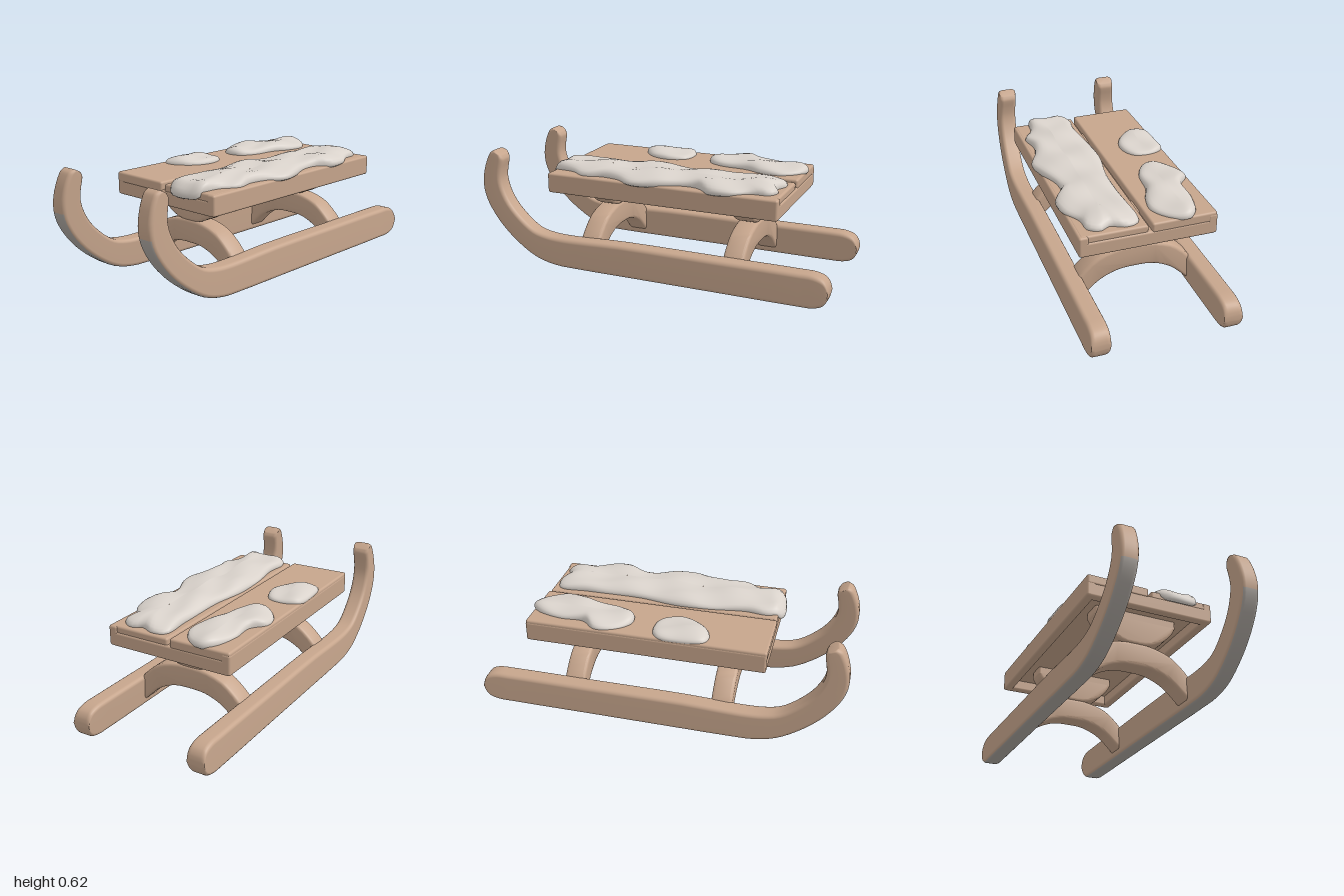
import * as THREE from 'three';
import { toCreasedNormals } from 'three/addons/utils/BufferGeometryUtils.js';
import { RoundedBoxGeometry } from 'three/addons/geometries/RoundedBoxGeometry.js';

const mat = (name, color) => Object.assign(new THREE.MeshStandardMaterial({ color }), { name });

function geometryFrom(positions, index) {
  const g = new THREE.BufferGeometry();
  g.setAttribute('position', new THREE.Float32BufferAttribute(positions, 3));
  g.setIndex(index);
  return g;
}

// Runner stations from tail to tip: [bottom z, bottom y, top z, top y]
const STATIONS = [
  [-1, 0.075, -1, 0.1], [-0.992, 0.045, -0.992, 0.13], [-0.97, 0.018, -0.97, 0.157],
  [-0.92, 0.002, -0.92, 0.173], [-0.85, 0, -0.85, 0.175], [-0.4, 0, -0.4, 0.175],
  [0.1, 0, 0.15, 0.175], [0.4, 0, 0.4, 0.166], [0.54, 0.005, 0.5, 0.165],
  [0.66, 0.035, 0.58, 0.17], [0.77, 0.1, 0.66, 0.188], [0.87, 0.185, 0.74, 0.24],
  [0.95, 0.285, 0.82, 0.32], [0.99, 0.37, 0.865, 0.4], [0.998, 0.45, 0.88, 0.46],
  [0.982, 0.53, 0.876, 0.515], [0.958, 0.588, 0.868, 0.555], [0.945, 0.607, 0.867, 0.573],
  [0.922, 0.62, 0.878, 0.596],
];

// Curled runner with a rounded rectangular section, leaning inwards as it rises
function runnerGeometry(side) {
  const curve = (a, b) => new THREE.CatmullRomCurve3(
    STATIONS.map((s) => new THREE.Vector3(0, s[b], s[a])));
  const bottom = curve(0, 1), top = curve(2, 3);
  const steps = (STATIONS.length - 1) * 3, n = 20, half = 0.05, r = 0.022;
  const pos = [], wood = [], metal = [];
  const put = (x, y, z) => pos.push(side * (0.347 - 0.048 * y + x), Math.max(y, 0), z);
  for (let i = 0; i <= steps; i++) {
    const b = bottom.getPoint(i / steps), t = top.getPoint(i / steps);
    const rv = Math.min(0.45, r / b.distanceTo(t));
    for (let j = 0; j < n; j++) {
      const corner = Math.floor(j / 5);
      const a = (corner - 1 + (j % 5) / 4) * Math.PI / 2;
      const x = (corner < 2 ? 1 : -1) * (half - r) + r * Math.cos(a);
      const v = (corner % 3 === 0 ? rv : 1 - rv) + rv * Math.sin(a);
      const p = b.clone().lerp(t, v);
      put(x, p.y, p.z);
    }
  }
  const tri = (list, a, b, c) => (side > 0 ? list.push(a, b, c) : list.push(a, c, b));
  for (let i = 0; i < steps; i++) {
    const b = bottom.getPoint((i + 0.5) / steps);
    const shod = b.y < 0.385 && b.z > -0.96;
    for (let j = 0; j < n; j++) {
      const k = (j + 1) % n, list = shod && (j < 2 || j >= 17) ? metal : wood;
      tri(list, i * n + j, i * n + k, i * n + n + k);
      tri(list, i * n + j, i * n + n + k, i * n + n + j);
    }
  }
  // End caps
  for (let j = 1; j < n - 1; j++) {
    tri(wood, 0, j + 1, j);
    tri(wood, steps * n, steps * n + j, steps * n + j + 1);
  }
  const g = geometryFrom(pos, [...wood, ...metal]);
  g.addGroup(0, wood.length, 0);
  g.addGroup(wood.length, metal.length, 1);
  g.computeVertexNormals();
  return g;
}

// Symmetric bevelled slab from right-hand edges (x falling to 0), upper and lower
function archGeometry(upper, lower, depth) {
  const edge = (pts) => {
    const mirrored = [...pts, ...pts.slice(0, -1).reverse().map(([x, y]) => [-x, y])];
    return new THREE.SplineCurve(mirrored.map((p) => new THREE.Vector2(...p))).getPoints(36);
  };
  const outline = [...edge(upper), ...edge(lower).reverse()];
  const bevel = 0.016;
  const g = new THREE.ExtrudeGeometry(new THREE.Shape(outline), {
    depth: depth - 2 * bevel, bevelEnabled: true, bevelSize: bevel, bevelThickness: bevel,
    bevelOffset: -bevel, bevelSegments: 3,
  });
  g.translate(0, 0, bevel - depth / 2);
  return toCreasedNormals(g, 0.7);
}

// Soft snow patch: the outline shrinks towards a spine while rising
function snowGeometry(points, base, height, droop) {
  const outline = new THREE.CatmullRomCurve3(
    points.map(([x, z]) => new THREE.Vector3(x, 0, z)), true).getSpacedPoints(120).slice(0, -1);
  const box = new THREE.Box3().setFromPoints(outline);
  const c = box.getCenter(new THREE.Vector3()), size = box.getSize(new THREE.Vector3());
  const k = Math.min(1, size.x / size.z);
  const profile = [[0.6, 0], [0.92, 0], [0.98, 0.12], [1, 0.32], [0.98, 0.54], [0.92, 0.72],
    [0.82, 0.86], [0.68, 0.95], [0.5, 1], [0.25, 1.02], [0, 1.03]];
  const n = outline.length, pos = [], index = [];
  for (const [s, h] of profile) {
    for (const p of outline) {
      const x = c.x + (p.x - c.x) * s;
      const z = c.z + (p.z - c.z) * (1 - (1 - s) * k);
      const bump = 0.005 * h * (Math.sin(21 * z + 9 * x) + Math.sin(33 * x - 13 * z));
      const hang = droop * THREE.MathUtils.smoothstep(z, 0.55, 0.6);
      pos.push(x, base + height * h + bump - hang * (1 - 0.4 * h), z);
    }
  }
  for (let i = 0; i < profile.length - 1; i++) {
    for (let j = 0; j < n; j++) {
      const a = i * n + j, b = i * n + (j + 1) % n;
      index.push(a, a + n, b, b, a + n, b + n);
    }
  }
  const g = geometryFrom(pos, index);
  g.computeVertexNormals();
  return g;
}

export function createModel() {
  const wood = mat('wood', 0xc6a58c);
  const snow = mat('snow', 0xd9d2cb);
  const metal = mat('runner metal', 0xaba59f);
  const group = new THREE.Group();
  const add = (name, geometry, material, x = 0, y = 0, z = 0) => {
    const m = new THREE.Mesh(geometry, material);
    m.name = name;
    m.position.set(x, y, z);
    group.add(m);
    return m;
  };
  const block = (name, w, h, d, x, y, z, r = 0.012) =>
    add(name, new RoundedBoxGeometry(w, h, d, 3, r), wood, x, y, z);

  // Runners
  add('leftRunner', runnerGeometry(1), [wood, metal]);
  add('rightRunner', runnerGeometry(-1), [wood, metal]);

  // Arched legs and the curved saddles above them
  const leg = archGeometry(
    [[0.33, 0.14], [0.28, 0.2], [0.2, 0.264], [0.1, 0.297], [0, 0.304]],
    [[0.33, 0.005], [0.29, 0.04], [0.2, 0.122], [0.1, 0.166], [0, 0.174]], 0.115);
  const saddle = archGeometry(
    [[0.235, 0.45], [0.1, 0.45], [0, 0.45]],
    [[0.235, 0.435], [0.215, 0.4], [0.16, 0.345], [0.08, 0.304], [0, 0.296]], 0.115);
  for (const [end, z] of [['front', 0.348], ['back', -0.482]]) {
    add(end + 'ArchLeg', leg, wood, 0, 0, z);
    add(end + 'Saddle', saddle, wood, 0, 0, z);
    block(end + 'SaddleTop', 0.47, 0.08, 0.115, 0, 0.465, z);
  }

  // Seat frame
  for (const s of [1, -1]) {
    block(s > 0 ? 'leftRail' : 'rightRail', 0.05, 0.11, 1.3, s * 0.335, 0.472, -0.072);
    block(s > 0 ? 'frontRail' : 'backRail', 0.7, 0.078, 0.05, 0, 0.455, -0.072 + s * 0.625);
  }

  // Seat boards with a gap between them
  const board = block('rightBoard', 0.345, 0.055, 1.3, -0.186, 0.51, -0.07);
  board.rotation.z = -0.01;
  block('leftBoard', 0.348, 0.045, 1.29, 0.178, 0.506, -0.07);
  block('underBoard', 0.66, 0.02, 1.24, 0, 0.485, -0.072, 0.005);

  // Snow patches
  add('longSnow', snowGeometry([
    [0.04, -0.5], [0.04, -0.67], [0.11, -0.695], [0.19, -0.665], [0.24, -0.69], [0.3, -0.66],
    [0.31, -0.57], [0.365, -0.47], [0.375, -0.37], [0.315, -0.27], [0.315, -0.18], [0.365, -0.05],
    [0.385, 0.06], [0.335, 0.17], [0.32, 0.27], [0.34, 0.37], [0.285, 0.46], [0.265, 0.585],
    [0.22, 0.6], [0.08, 0.6], [0.03, 0.52], [0.04, 0.4], [0.015, 0.2], [0.01, 0], [0.04, -0.2],
  ], 0.515, 0.058, 0.035), snow);
  add('backSnow', snowGeometry([
    [-0.25, -0.69], [-0.2, -0.73], [-0.12, -0.7], [-0.05, -0.6], [-0.06, -0.5], [-0.1, -0.4],
    [-0.12, -0.25], [-0.17, -0.17], [-0.25, -0.16], [-0.33, -0.24], [-0.35, -0.34],
    [-0.29, -0.42], [-0.29, -0.55],
  ], 0.525, 0.05, 0), snow);
  add('middleSnow', snowGeometry([
    [-0.35, 0], [-0.29, -0.035], [-0.18, -0.02], [-0.135, 0.08], [-0.17, 0.19],
    [-0.27, 0.265], [-0.34, 0.25], [-0.36, 0.1],
  ], 0.525, 0.042, 0), snow);
  return group;
}
